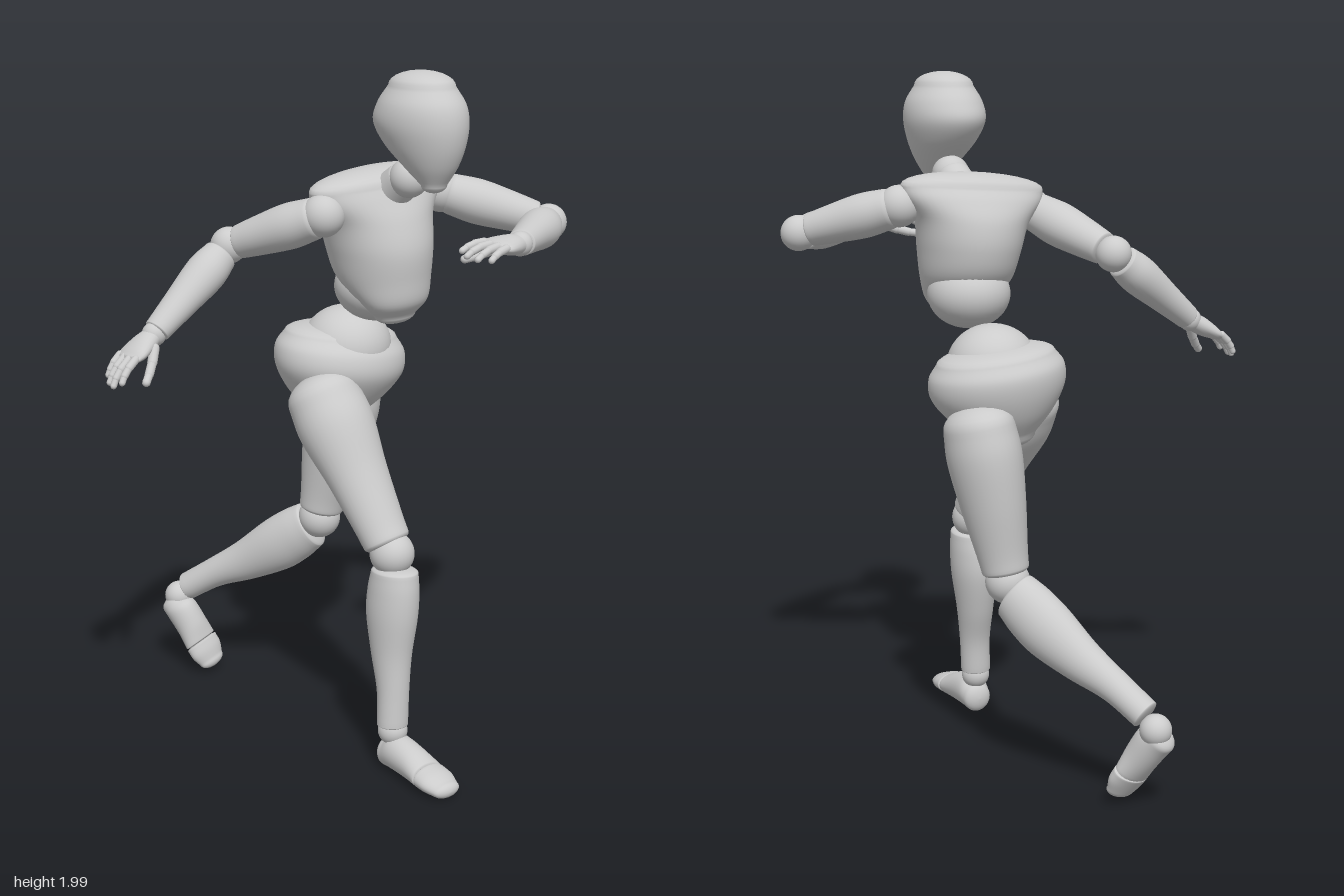
import * as THREE from 'three';

const V = (x, y, z) => new THREE.Vector3(x, y, z);
const material = new THREE.MeshStandardMaterial({ color: 0xcccccc });

// Smooth body from a to b. Profile rows: [t, halfWidth, halfDepth, offset toward front].
// caps give the roundness of both ends, relative to the end's width.
function loft(name, a, b, profile, front = V(0, 0, 1), caps = [0.5, 0.5], sides = 32) {
  const u = b.clone().sub(a), len = u.length();
  u.normalize();
  const d = front.clone().addScaledVector(u, -front.dot(u)).normalize();
  const w = d.clone().cross(u);
  const radii = new THREE.CatmullRomCurve3(profile.map(p => V(p[0], p[1], p[2])), false, 'catmullrom');
  const shift = new THREE.CatmullRomCurve3(profile.map(p => V(p[3] || 0, p[0], 0)), false, 'catmullrom');
  const rings = [], capSteps = 7, steps = (profile.length - 1) * 6;
  const addCap = (k, end, dir) => {
    const p = radii.getPoint(end), o = shift.getPoint(end).x;
    const ang = (k / capSteps) * Math.PI / 2, c = Math.max(Math.cos(ang), 0.001);
    rings.push([p.x * len + dir * caps[end] * p.y * Math.sin(ang), p.y * c, p.z * c, o]);
  };
  for (let k = capSteps; k > 0; k--) addCap(k, 0, -1);
  for (let i = 0; i <= steps; i++) {
    const p = radii.getPoint(i / steps);
    rings.push([p.x * len, p.y, p.z, shift.getPoint(i / steps).x]);
  }
  for (let k = 1; k <= capSteps; k++) addCap(k, 1, 1);

  const pos = [], index = [];
  rings.forEach(([h, rw, rd, o], i) => {
    for (let j = 0; j < sides; j++) {
      const th = (j / sides) * Math.PI * 2;
      const v = a.clone().addScaledVector(u, h)
        .addScaledVector(w, rw * Math.cos(th)).addScaledVector(d, rd * Math.sin(th) + o);
      pos.push(v.x, v.y, v.z);
      if (i < rings.length - 1) {
        const j2 = (j + 1) % sides, r0 = i * sides, r1 = r0 + sides;
        index.push(r0 + j, r0 + j2, r1 + j2, r0 + j, r1 + j2, r1 + j);
      }
    }
  });
  const g = new THREE.BufferGeometry();
  g.setAttribute('position', new THREE.Float32BufferAttribute(pos, 3));
  g.setIndex(index);
  g.computeVertexNormals();
  const mesh = new THREE.Mesh(g, material);
  mesh.name = name;
  return mesh;
}

function ball(name, c, rx, ry = rx, rz = rx) {
  const mesh = new THREE.Mesh(new THREE.SphereGeometry(1, 32, 24), material);
  mesh.scale.set(rx, ry, rz);
  mesh.position.copy(c);
  mesh.name = name;
  return mesh;
}

function capsule(name, a, b, r) {
  const dir = b.clone().sub(a);
  const mesh = new THREE.Mesh(new THREE.CapsuleGeometry(r, dir.length(), 5, 12), material);
  mesh.position.copy(a).add(b).multiplyScalar(0.5);
  mesh.quaternion.setFromUnitVectors(V(0, 1, 0), dir.normalize());
  mesh.name = name;
  return mesh;
}

// Palm, four jointed fingers and a thumb
function hand(side, wrist, dir, back, thumbSide) {
  const g = new THREE.Group();
  g.name = side + 'Hand';
  const u = dir.clone().normalize();
  const n = back.clone().addScaledVector(u, -back.dot(u)).normalize();
  const s = n.clone().cross(u);
  if (s.dot(thumbSide) < 0) s.negate();
  const at = (f, across, up) => wrist.clone().addScaledVector(u, f).addScaledVector(s, across).addScaledVector(n, up);
  g.add(ball('wrist', wrist, 0.034));
  g.add(loft('palm', wrist, at(0.11, 0, 0),
    [[0.1, 0.032, 0.026], [0.4, 0.043, 0.027], [0.75, 0.052, 0.021], [0.95, 0.048, 0.015]], n, [0.4, 0.2], 24));
  const chain = (name, start, lengths, r, angle, curl, spread) => {
    let p = start;
    lengths.forEach((l, i) => {
      const q = p.clone().addScaledVector(u, l * Math.cos(angle))
        .addScaledVector(n, -l * Math.sin(angle)).addScaledVector(s, l * spread);
      g.add(capsule(name, p, q, r - i * 0.0012));
      p = q;
      angle += curl;
    });
  };
  [0.9, 1.0, 0.95, 0.75].forEach((k, i) =>
    chain('finger', at(0.112 - Math.abs(i - 1) * 0.005, 0.036 - i * 0.025, 0.004),
      [0.036 * k, 0.029 * k, 0.022 * k], 0.0115, 0.1 + i * 0.05, 0.2, 0.08 - i * 0.06));
  chain('thumb', at(0.04, 0.036, -0.012), [0.04, 0.035, 0.026], 0.014, 0.5, -0.12, 0.35);
  return g;
}

function arm(side, shoulder, elbow, wrist, back, handDir, thumbSide) {
  const g = new THREE.Group();
  g.name = side + 'Arm';
  const up = V(0, 1, 0);
  g.add(ball('shoulderJoint', shoulder, 0.06));
  g.add(loft('upperArm', shoulder, elbow,
    [[0.1, 0.062, 0.058], [0.35, 0.068, 0.064], [0.65, 0.06, 0.056], [0.87, 0.05, 0.048]], up, [0.5, 0.2]));
  g.add(ball('elbowJoint', elbow, 0.052));
  g.add(loft('forearm', elbow, wrist,
    [[0.12, 0.049, 0.05], [0.32, 0.06, 0.057], [0.65, 0.05, 0.046], [0.96, 0.04, 0.036]], up, [0.25, 0.2]));
  g.add(hand(side, wrist, handDir, back, thumbSide));
  return g;
}

// Rear foot block and a separate toe piece
function foot(heel, toe, up) {
  const g = new THREE.Group();
  g.name = 'foot';
  g.add(loft('heelAndInstep', heel, toe,
    [[0.1, 0.044, 0.046, 0.008], [0.22, 0.049, 0.054, 0.018], [0.45, 0.051, 0.048, 0.012], [0.65, 0.056, 0.036, 0.001]],
    up, [0.6, 0.1]));
  g.add(loft('toes', heel, toe,
    [[0.68, 0.058, 0.034, 0], [0.8, 0.057, 0.03, -0.004], [0.92, 0.045, 0.023, -0.011]], up, [0.1, 0.5]));
  return g;
}

function leg(side, hip, knee, shinTop, ankle, shinFront, thigh) {
  const g = new THREE.Group();
  g.name = side + 'Leg';
  g.add(loft('thigh', hip, knee, thigh, V(0, 0, 1), [0.65, 0.3]));
  g.add(ball('kneeJoint', knee, 0.064));
  g.add(loft('shin', shinTop, ankle,
    [[0, 0.063, 0.074], [0.12, 0.068, 0.083, -0.005], [0.28, 0.068, 0.083, -0.01],
      [0.52, 0.056, 0.064, -0.01], [0.75, 0.047, 0.047], [0.97, 0.046, 0.043]], shinFront, [0.25, 0.2]));
  return g;
}

export function createModel() {
  const model = new THREE.Group();
  model.name = 'posedMannequin';

  // Head and neck
  model.add(loft('head', V(0.145, 1.7, 0.335), V(0.145, 1.96, 0.335),
    [[0, 0.038, 0.034, 0.05], [0.19, 0.07, 0.08, 0.035], [0.4, 0.096, 0.122, 0.013],
      [0.62, 0.112, 0.143, -0.002], [0.82, 0.107, 0.13, 0], [1, 0.082, 0.098, 0]],
    V(0.15, 0, 1), [0.6, 0.5], 40));
  model.add(ball('neckJoint', V(0.145, 1.705, 0.285), 0.055));
  model.add(loft('neck', V(0.145, 1.71, 0.275), V(0.14, 1.62, 0.17),
    [[0.1, 0.052, 0.048], [0.5, 0.06, 0.055], [1, 0.075, 0.065]]));

  // Torso
  model.add(loft('chest', V(0.157, 1.3, 0.15), V(0.13, 1.72, 0.15),
    [[0.02, 0.065, 0.045, 0.065], [0.12, 0.1, 0.082, 0.066], [0.28, 0.132, 0.138, 0.02],
      [0.48, 0.15, 0.157, 0.005], [0.67, 0.168, 0.145, -0.004], [0.81, 0.208, 0.117, -0.004],
      [0.9, 0.218, 0.092, 0]], V(0, 0, 1), [0.4, 0.2], 48));
  model.add(ball('abdomen', V(0.155, 1.375, 0.13), 0.12, 0.1, 0.122));
  model.add(ball('waist', V(0.127, 1.18, 0.025), 0.132, 0.12, 0.13));
  model.add(loft('pelvis', V(0.105, 0.98, 0), V(0.135, 1.24, 0),
    [[0.02, 0.09, 0.09, -0.01], [0.25, 0.152, 0.137, -0.005], [0.5, 0.196, 0.168],
      [0.72, 0.2, 0.168, -0.005], [0.88, 0.175, 0.14, -0.01]], V(0, 0.1, 1), [0.45, 0.2], 48));

  // Arms: the left one folds across the front, the right one swings back
  model.add(arm('left', V(0.35, 1.63, 0.17), V(0.587, 1.545, 0.365), V(0.315, 1.548, 0.555),
    V(0, 1, 0.1), V(-0.21, 0.015, 0.03), V(0, 0, -1)));
  model.add(arm('right', V(-0.06, 1.605, 0.17), V(-0.2, 1.495, -0.09), V(-0.47, 1.285, -0.055),
    V(-0.4, 1, 0), V(-0.15, -0.085, 0.025), V(0, 0, 1)));

  // Right leg steps forward, left leg pushes off behind
  const right = leg('right', V(0, 1.06, 0.09), V(0.057, 0.65, 0.345), V(0.056, 0.6, 0.36), V(0.032, 0.13, 0.39),
    V(0, 0, 1), [[0, 0.108, 0.1], [0.2, 0.113, 0.104], [0.5, 0.092, 0.08], [0.8, 0.076, 0.065], [0.92, 0.071, 0.062]]);
  right.add(ball('ankleJoint', V(0.033, 0.125, 0.39), 0.043));
  right.add(foot(V(0.035, 0.046, 0.345), V(0.042, 0.044, 0.65), V(0, 1, 0)));
  model.add(right);

  const left = leg('left', V(0.22, 1.03, -0.095), V(0.16, 0.59, -0.155), V(0.15, 0.555, -0.19), V(-0.085, 0.28, -0.555),
    V(-0.1, -0.5, 0.8).negate().lerp(V(0, 1, 0.3), 0.9),
    [[0, 0.1, 0.113], [0.2, 0.105, 0.12], [0.5, 0.092, 0.102], [0.8, 0.074, 0.074], [0.92, 0.068, 0.066]]);
  left.add(ball('ankleJoint', V(-0.095, 0.25, -0.575), 0.045));
  left.add(foot(V(-0.115, 0.24, -0.6), V(-0.035, 0.04, -0.45), V(0, 0.5, 0.8)));
  model.add(left);
  return model;
}
